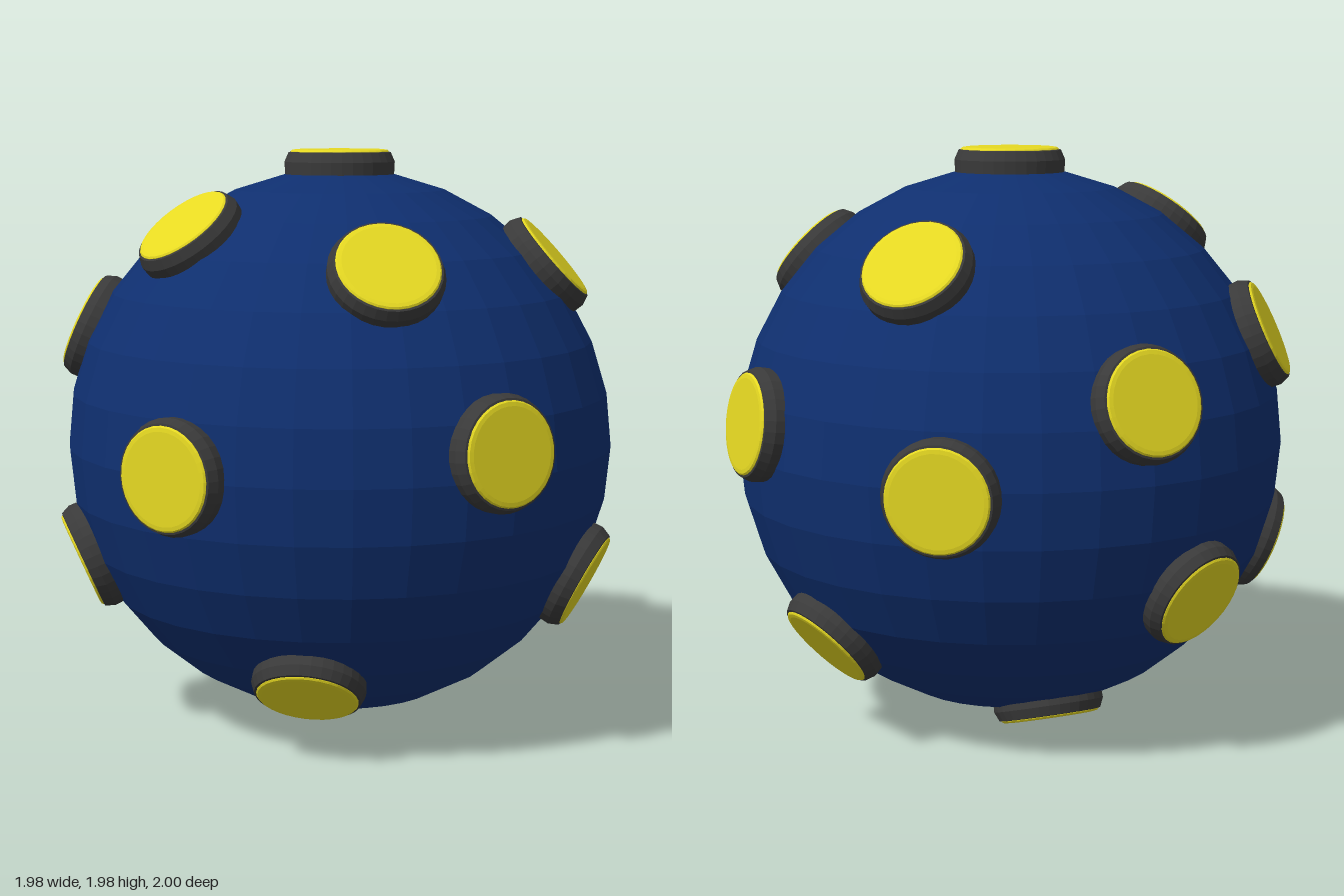
import * as THREE from 'three';

const CENTRE = new THREE.Vector3(-0.01, 0.985, 0);
const RADIUS = 0.94;
const FACE = 0.99; // distance from ball centre to button face

// Directions of the buttons from the ball centre, with optional face distance
const BUTTONS = [
  [0, 1, 0, 1.005],
  [-0.15, 0.77, 0.6],
  [0.59, 0.66, 0.42],
  [0.62, 0.65, -0.4],
  [-0.31, 0.68, -0.66],
  [-0.71, 0.41, 0.55],
  [-0.95, 0.27, -0.2],
  [0.21, 0.13, -0.97],
  [0.95, 0.09, 0.25],
  [0.15, 0.01, 0.98],
  [-0.6, -0.02, -0.79],
  [-0.52, -0.39, 0.75],
  [-0.9, -0.42, 0.06],
  [0.84, -0.46, -0.37],
  [0.05, -0.63, -0.76],
  [0.35, -0.76, 0.54],
  [-0.32, -0.95, -0.08, 0.98],
];

const lathe = (points) =>
  new THREE.LatheGeometry(points.map(([r, y]) => new THREE.Vector2(r, y)), 32);

export function createModel() {
  const model = new THREE.Group();
  model.name = 'studdedBall';

  const navy = new THREE.MeshStandardMaterial({ color: 0x0f2f6f, flatShading: true });
  const charcoal = new THREE.MeshStandardMaterial({ color: 0x3a3a3a, flatShading: true });
  const yellow = new THREE.MeshStandardMaterial({ color: 0xe6d922, flatShading: true });

  // Ball
  const ball = new THREE.Mesh(new THREE.SphereGeometry(RADIUS, 32, 16), navy);
  ball.name = 'ball';
  ball.position.copy(CENTRE);
  model.add(ball);

  // Button shapes: y = 0 is the outer face
  const rimGeometry = lathe([[0.186, -0.1], [0.189, -0.042], [0.175, -0.01], [0.166, -0.008], [0.16, -0.02]]);
  const capGeometry = lathe([[0.168, -0.02], [0.168, -0.007], [0.163, -0.002], [0.15, 0], [0, 0]]);

  // Buttons, each facing straight out of the ball
  const up = new THREE.Vector3(0, 1, 0);
  BUTTONS.forEach(([x, y, z, distance = FACE], i) => {
    const direction = new THREE.Vector3(x, y, z).normalize();
    const button = new THREE.Group();
    button.name = `button${i + 1}`;
    const rim = new THREE.Mesh(rimGeometry, charcoal);
    rim.name = 'buttonRim';
    const cap = new THREE.Mesh(capGeometry, yellow);
    cap.name = 'buttonCap';
    button.add(rim, cap);
    button.quaternion.setFromUnitVectors(up, direction);
    button.position.copy(CENTRE).addScaledVector(direction, distance);
    model.add(button);
  });

  return model;
}
